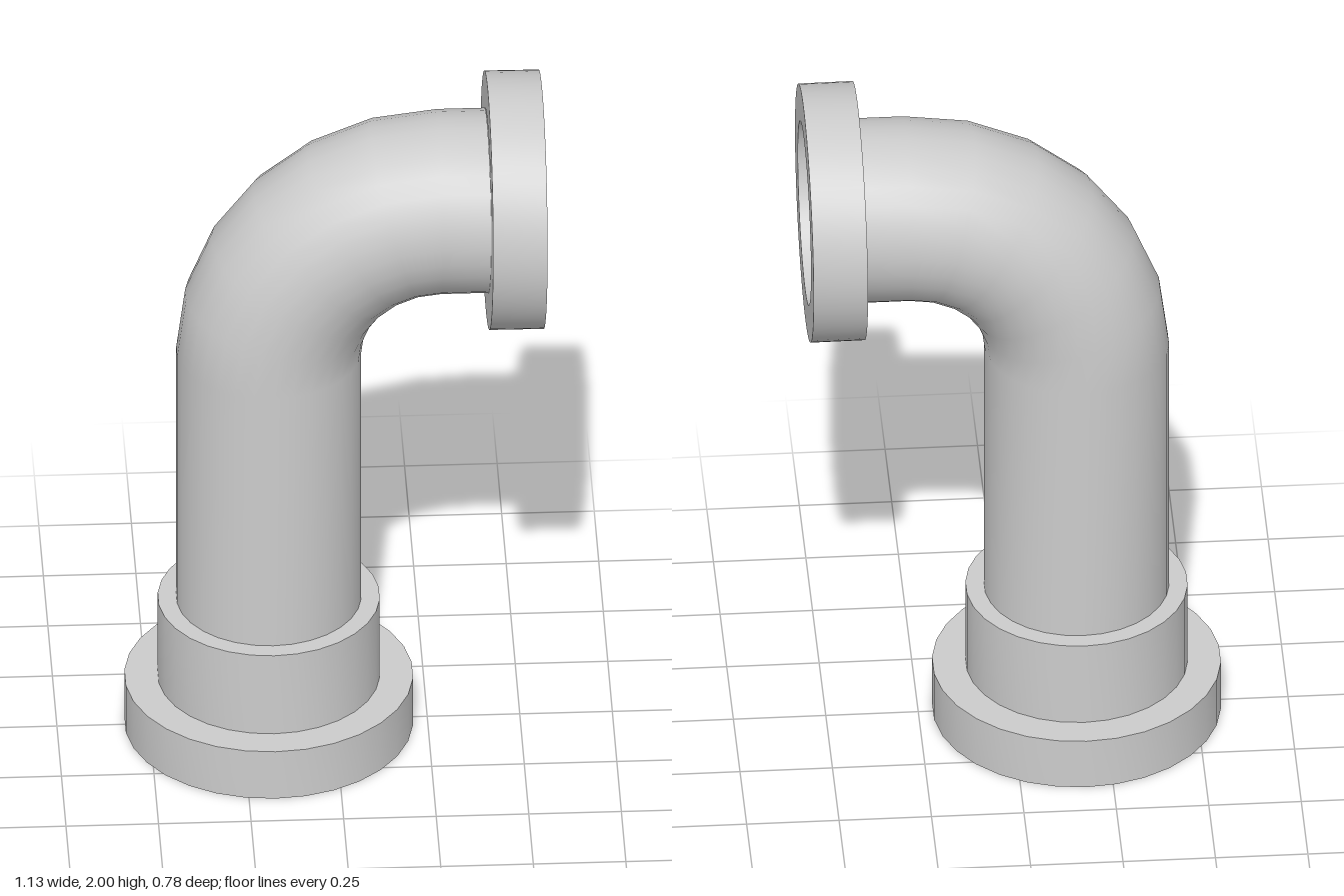
import * as THREE from 'three';
import { toCreasedNormals } from 'three/addons/utils/BufferGeometryUtils.js';

const material = new THREE.MeshStandardMaterial({ color: 0xcccccc, side: THREE.DoubleSide });
const AXIS_X = -0.178, PIPE_R = 0.25, BEND_R = 0.46;
const BEND_X = AXIS_X + BEND_R, BEND_Y = 1.19;

function turned(name, profile, sides) {
  const points = profile.map(([r, y]) => new THREE.Vector2(r, y));
  const geometry = toCreasedNormals(new THREE.LatheGeometry(points, sides), 0.6);
  const mesh = new THREE.Mesh(geometry, material);
  mesh.name = name;
  return mesh;
}

// Round pipe swept through a quarter bend in six steps, with straight ends
function bentPipe(sides, steps) {
  const rings = [[AXIS_X, 0.4, 0]];
  for (let i = 0; i <= steps; i++) {
    const a = (i / steps) * Math.PI / 2;
    rings.push([BEND_X - BEND_R * Math.cos(a), BEND_Y + BEND_R * Math.sin(a), a]);
  }
  rings.push([0.412, BEND_Y + BEND_R, Math.PI / 2]);

  const positions = [], index = [];
  rings.forEach(([x, y, a], j) => {
    for (let i = 0; i < sides; i++) {
      const t = (i / sides) * Math.PI * 2;
      const out = PIPE_R * Math.sin(t);
      positions.push(x + out * Math.cos(a), y - out * Math.sin(a), PIPE_R * Math.cos(t));
      if (j === 0) continue;
      const k = (i + 1) % sides, low = (j - 1) * sides, high = j * sides;
      index.push(low + i, low + k, high + k, low + i, high + k, high + i);
    }
  });
  const geometry = new THREE.BufferGeometry();
  geometry.setAttribute('position', new THREE.Float32BufferAttribute(positions, 3));
  geometry.setIndex(index);
  geometry.computeVertexNormals();
  const mesh = new THREE.Mesh(geometry, material);
  mesh.name = 'bentPipe';
  return mesh;
}

export function createModel() {
  const group = new THREE.Group();
  group.name = 'pipeElbow';

  // Hollow stepped foot, open underneath
  const base = new THREE.Group();
  base.name = 'base';
  base.position.x = AXIS_X;
  base.add(
    turned('baseFlange', [[0.39, 0], [0.39, 0.15], [0.3, 0.15]], 30),
    turned('baseCollar', [[0.3, 0.15], [0.3, 0.4], [PIPE_R - 0.003, 0.4]], 30)
  );

  // Flange ring around the open mouth, leaning very slightly
  const mouth = turned('mouthFlange',
    [[PIPE_R, 0], [0.35, 0], [0.35, 0.147], [PIPE_R, 0.147], [PIPE_R, 0]].reverse(), 64);
  mouth.position.set(0.411, BEND_Y + BEND_R, 0);
  mouth.rotation.z = -Math.PI / 2 - 0.008;

  group.add(base, bentPipe(30, 6), mouth);
  return group;
}
